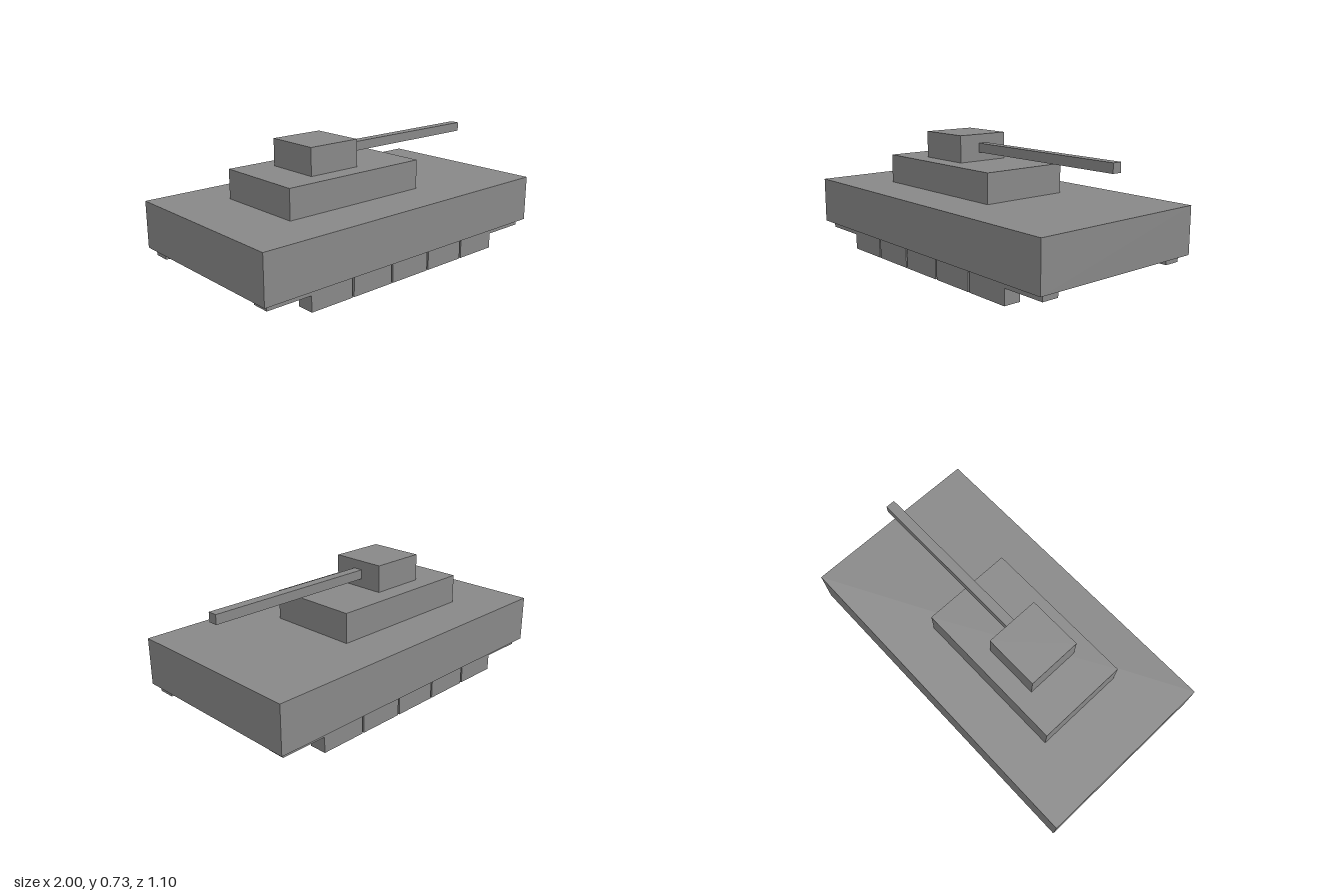
import * as THREE from 'three';

const material = new THREE.MeshStandardMaterial({ color: 0x888888, flatShading: true });

// Box given by its lower and upper limits on each axis
function box(name, [x0, x1], [y0, y1], [z0, z1]) {
  const mesh = new THREE.Mesh(new THREE.BoxGeometry(x1 - x0, y1 - y0, z1 - z0), material);
  mesh.name = name;
  mesh.position.set((x0 + x1) / 2, (y0 + y1) / 2, (z0 + z1) / 2);
  return mesh;
}

// One running track: five full-height blocks and a raised shallow block at each end
function createTrack(name) {
  const track = new THREE.Group();
  track.name = name;
  const z = [0.408, 0.508];
  const first = -0.69, pitch = 0.282, width = 0.271;
  const last = first + 4 * pitch + width;
  for (let i = 0; i < 5; i++) {
    const x = first + i * pitch;
    track.add(box('trackBlock', [x, x + width], [0, 0.13], z));
  }
  track.add(box('trackEndBlock', [-0.96, first], [0.09, 0.13], z));
  track.add(box('trackEndBlock', [last, 0.972], [0.09, 0.13], z));
  return track;
}

export function createModel() {
  const model = new THREE.Group();
  model.name = 'tank';

  // Stepped body
  model.add(box('hull', [-1, 1], [0.13, 0.402], [-0.548, 0.548]));
  model.add(box('turretBase', [-0.63, 0.297], [0.402, 0.573], [-0.271, 0.271]));
  model.add(box('turret', [-0.4, -0.073], [0.573, 0.73], [-0.163, 0.163]));
  model.add(box('gunBarrel', [-0.073, 0.95], [0.624, 0.678], [-0.028, 0.028]));

  // Tracks: the far one is the near one turned half round
  model.add(createTrack('frontTrack'));
  const backTrack = createTrack('backTrack');
  backTrack.rotation.y = Math.PI;
  model.add(backTrack);

  return model;
}
